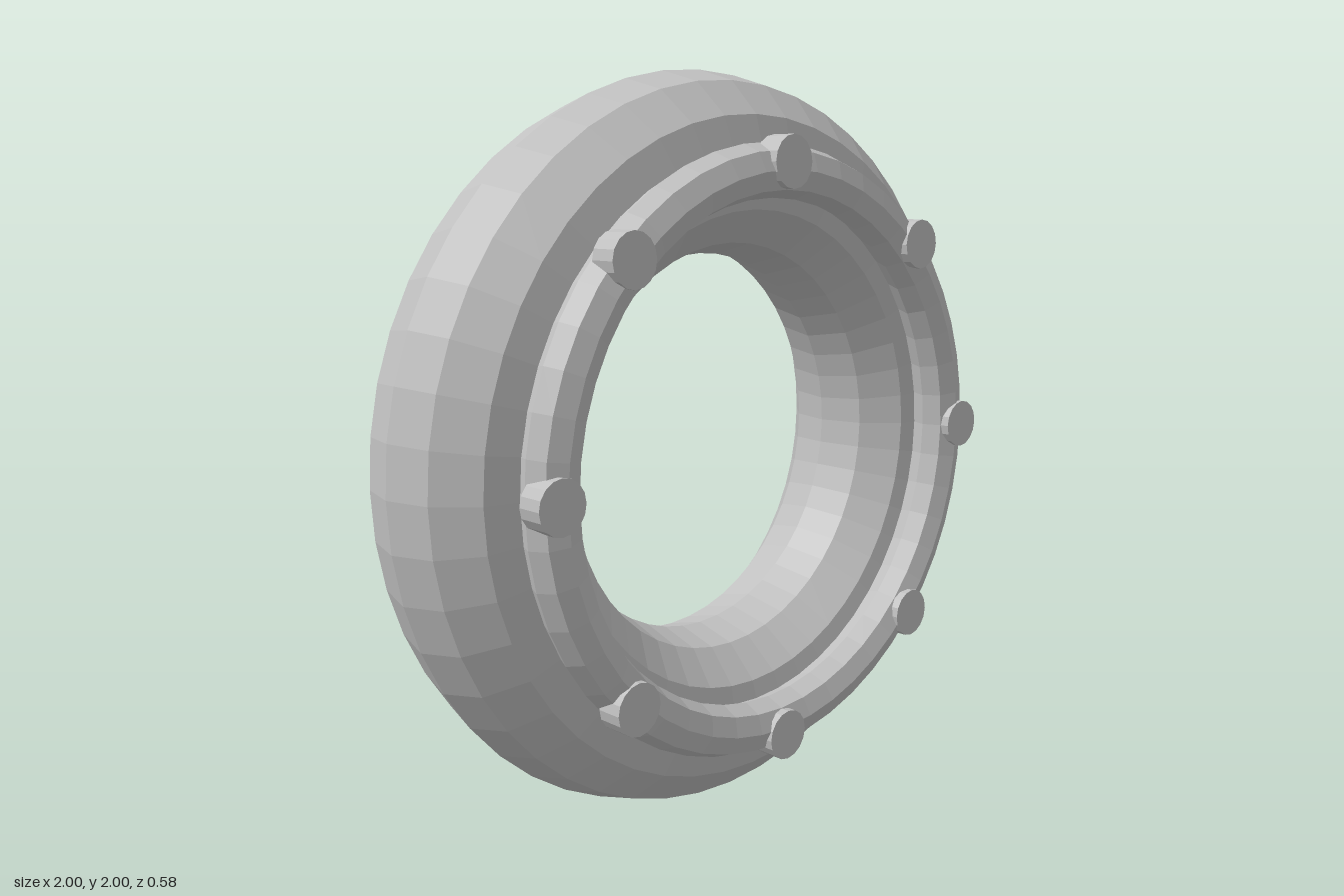
import * as THREE from 'three';

export function createModel() {
  const group = new THREE.Group();
  const grey = new THREE.MeshStandardMaterial({ color: 0xc0c0c0, flatShading: true });
  grey.name = 'light grey';

  const add = (name, geometry, x, y, z) => {
    const mesh = new THREE.Mesh(geometry, grey);
    mesh.name = name;
    mesh.position.set(x, y, z);
    group.add(mesh);
  };

  // Thick main ring, standing upright
  add('mainRing', new THREE.TorusGeometry(0.76, 0.24, 12, 48), 0, 1, -0.05);

  // Thin rim sunk into the front face
  add('frontRim', new THREE.TorusGeometry(0.74, 0.07, 8, 48), 0, 1, 0.215);

  // Eight round studs spaced evenly on the rim
  const stud = new THREE.CylinderGeometry(0.068, 0.068, 0.07, 16).rotateX(Math.PI / 2);
  for (let i = 0; i < 8; i++) {
    const a = (i * Math.PI) / 4;
    add('stud' + (i + 1), stud, 0.76 * Math.cos(a), 1 + 0.76 * Math.sin(a), 0.255);
  }

  return group;
}
